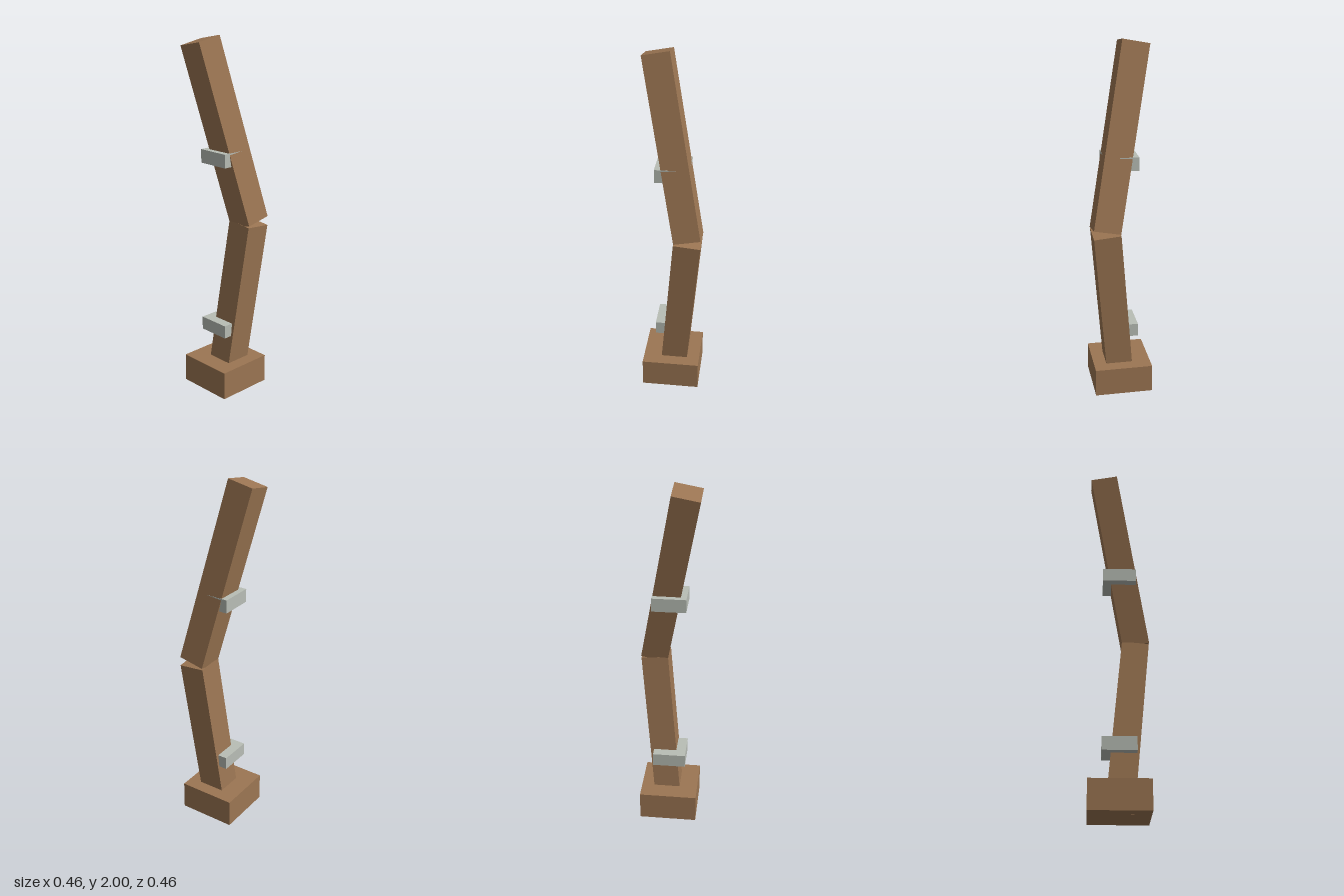
import * as THREE from 'three';

const wood = new THREE.MeshStandardMaterial({ color: 0x9c7653, flatShading: true });
const metal = new THREE.MeshStandardMaterial({ color: 0xb9beb6, flatShading: true });

// Square prism with its corners on the axes, running between two points in the xy plane
function squarePrism(name, radius, from, to, material) {
  const a = new THREE.Vector2(...from);
  const b = new THREE.Vector2(...to);
  const axis = b.clone().sub(a);
  const mesh = new THREE.Mesh(new THREE.CylinderGeometry(radius, radius, axis.length(), 4), material);
  mesh.name = name;
  mesh.position.set((a.x + b.x) / 2, (a.y + b.y) / 2, 0);
  mesh.rotation.z = -Math.atan2(axis.x, axis.y);
  return mesh;
}

export function createModel() {
  const group = new THREE.Group();
  group.name = 'bentPost';

  // Foot block
  group.add(squarePrism('base', 0.229, [-0.003, 0.02], [-0.003, 0.18], wood));

  // Two beams leaning opposite ways and meeting at the bend
  group.add(squarePrism('lowerBeam', 0.105, [-0.002, 0.018], [0.125, 0.988], wood));
  group.add(squarePrism('upperBeam', 0.105, [0.128, 0.998], [-0.133, 1.973], wood));

  // Upright metal bands around the beams
  for (const [name, y] of [['lowerBand', 0.383], ['upperBand', 1.362]]) {
    group.add(squarePrism(name, 0.13, [-0.002, y - 0.037], [-0.002, y + 0.037], metal));
  }
  return group;
}
